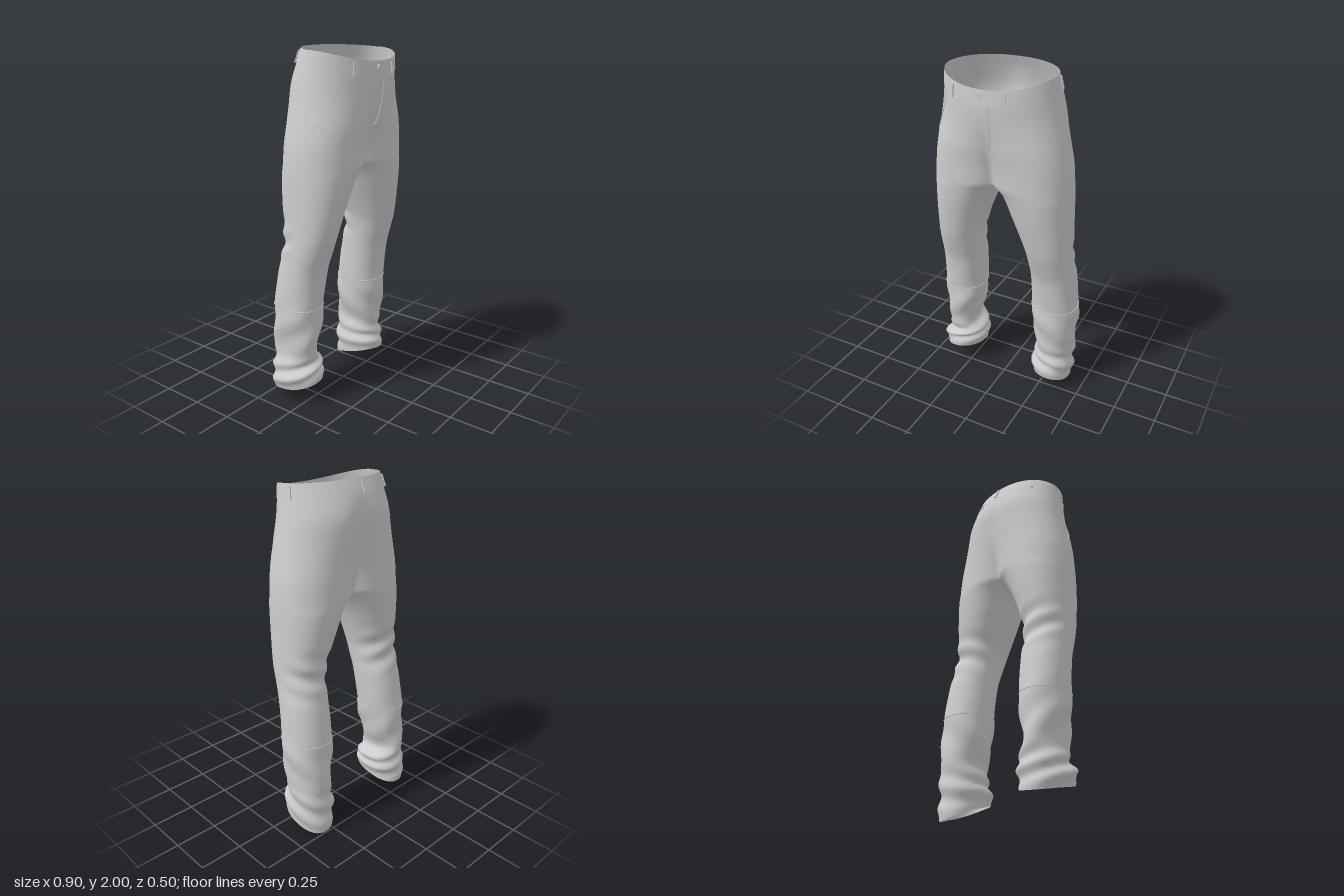
import * as THREE from 'three';
import { mergeGeometries, mergeVertices } from 'three/addons/utils/BufferGeometryUtils.js';

// Sections: [height, outer x, inner x, front z, back z]
const LEFT_LEG = [
  [0.05, 0.405, 0.19, 0.06, -0.245], [0.12, 0.418, 0.18, 0.058, -0.243], [0.22, 0.42, 0.185, 0.03, -0.238],
  [0.3, 0.42, 0.2, 0.035, -0.24], [0.4, 0.43, 0.18, 0.045, -0.235], [0.5, 0.44, 0.165, 0.055, -0.23],
  [0.6, 0.435, 0.165, 0.055, -0.225], [0.8, 0.425, 0.165, 0.08, -0.195], [0.9, 0.415, 0.16, 0.11, -0.17],
  [1.0, 0.412, 0.145, 0.14, -0.16], [1.2, 0.405, 0.07, 0.18, -0.19], [1.33, 0.402, 0.012, 0.2, -0.205],
  [1.38, 0.4, -0.045, 0.207, -0.208],
];
// The right leg differs only in its outer and inner x
const RIGHT_X = [[0.43, 0.2], [0.448, 0.19], [0.425, 0.19], [0.41, 0.24], [0.42, 0.215], [0.43, 0.19], [0.43, 0.18],
  [0.42, 0.165], [0.415, 0.16], [0.41, 0.15], [0.405, 0.085], [0.402, 0.012], [0.4, -0.045]];
const RIGHT_LEG = LEFT_LEG.map((r, i) => [r[0], ...RIGHT_X[i], r[3], r[4]]);
// Hips: [height, outer x, front z, back z, roundness (0 = two legs, 1 = one waist)]
const HIPS = [
  [1.38, 0.4, 0.207, -0.208, 0], [1.5, 0.39, 0.22, -0.215, 0.25], [1.6, 0.372, 0.235, -0.222, 0.52],
  [1.7, 0.352, 0.24, -0.23, 0.78], [1.8, 0.335, 0.243, -0.23, 0.93], [1.9, 0.318, 0.245, -0.2, 1],
  [1.985, 0.305, 0.24, -0.165, 1],
];
const CROTCH = 1.38, RIM = 1.985, SPLIT = 140 * Math.PI / 180, HALF = 56, INNER = 16;

// Smooth interpolation of one table row at height v
function sample(table, v) {
  let i = 0;
  while (i < table.length - 2 && v > table[i + 1][0]) i++;
  const a = table[i], b = table[i + 1], p = table[Math.max(i - 1, 0)], q = table[Math.min(i + 2, table.length - 1)];
  const h = b[0] - a[0], t = (v - a[0]) / h;
  return a.map((_, c) => {
    const m0 = (b[c] - p[c]) / (b[0] - p[0]) * h, m1 = (q[c] - a[c]) / (q[0] - a[0]) * h;
    return a[c] * (2 * t ** 3 - 3 * t * t + 1) + m0 * (t ** 3 - 2 * t * t + t) + b[c] * (3 * t * t - 2 * t ** 3) + m1 * (t ** 3 - t * t);
  });
}
const bump = (v, centre, width) => Math.exp(-(((v - centre) / width) ** 2));
const power = (n, e) => Math.sign(n) * Math.abs(n) ** e;

// Rounded section; angle runs front (-90) > outer (0) > back (90)
function oval(xOut, xIn, zF, zB, a, e) {
  return [(xOut + xIn) / 2 + (xOut - xIn) / 2 * power(Math.cos(a), e), (zF + zB) / 2 - (zF - zB) / 2 * power(Math.sin(a), e)];
}

function legPoint(side, v, a, off = 0) {
  const [, xo, xi, zf, zb] = sample(side > 0 ? LEFT_LEG : RIGHT_LEG, v);
  // folds behind the knee and bunched cloth at the ankle
  const back = Math.max(0, Math.sin(a)), k = side > 0 ? 0 : 1.3;
  const fold = off + 0.012 * bump(v, 0.97, 0.11) * back * Math.sin(v * 48 + a * 2 + k)
    + 0.012 * bump(v, 0.17, 0.09) * Math.sin(v * 55 + a * 2 + k)
    + 0.006 * bump(v, 0.42, 0.16) * Math.sin(v * 26 + a * 3 + k);
  const [x, z] = oval(xo + fold, xi - fold, zf + fold, zb - fold, a, 0.9);
  const hem = 1 - THREE.MathUtils.smoothstep(v, 0.05, 0.3);
  const [c0, c1] = side > 0 ? [0.003, 0.05] : [0.045, 0.035];
  const y = v + hem * (c0 - c1 * Math.sin(a) - 0.015 * Math.cos(a));
  return new THREE.Vector3(side * Math.max(0, x), y, z);
}

// s runs from front centre (-1) around the hip to back centre (1)
function hipPoint(side, v, s, off = 0) {
  const [, xo, zf, zb, w] = sample(HIPS, v);
  const [lx, lz] = oval(xo + off, -0.045, zf + off, zb - off, s * SPLIT, 0.9);
  const [wx, wz] = oval(xo + off, -xo - off, zf + off, zb - off, s * Math.PI / 2, 0.95);
  const x = Math.abs(s) > 0.9999 ? 0 : Math.max(0, lx + (wx - lx) * w);
  let z = lz + (wz - lz) * w;
  if (s > 0) z += 0.018 * bump(v, 1.75, 0.12) * bump(x, 0, 0.08);
  const tilt = z > 0 ? -0.055 * (z / 0.24) ** 2 : -0.09 * z;
  return new THREE.Vector3(side * x, v + tilt * THREE.MathUtils.smoothstep(v, 1.6, 1.9), z);
}

function legRing(side, v, off) {
  const ring = [];
  for (let i = 0; i <= HALF; i++) ring.push(legPoint(side, v, (i / HALF * 2 - 1) * SPLIT, off));
  for (let i = 1; i < INNER; i++) ring.push(legPoint(side, v, SPLIT + i / INNER * 2 * (Math.PI - SPLIT), off));
  return side > 0 ? ring : ring.reverse();
}
function hipRing(v, off) {
  const ring = [];
  for (let i = 0; i <= HALF; i++) ring.push(hipPoint(1, v, i / HALF * 2 - 1, off));
  for (let i = HALF - 1; i > 0; i--) ring.push(hipPoint(-1, v, i / HALF * 2 - 1, off));
  return ring;
}

// Skin a stack of closed rings, lowest first
function loft(rings) {
  const n = rings[0].length, index = [];
  for (let r = 0; r < rings.length - 1; r++) {
    for (let i = 0; i < n; i++) {
      const a = r * n + i, b = r * n + (i + 1) % n;
      index.push(a, b, b + n, a, b + n, a + n);
    }
  }
  const g = new THREE.BufferGeometry().setFromPoints(rings.flat());
  g.setIndex(index);
  return g;
}
const levels = (from, to, n) => Array.from({ length: n + 1 }, (_, i) => from + (to - from) * i / n);

export function createModel() {
  const group = new THREE.Group();
  const cloth = new THREE.MeshStandardMaterial({ color: 0xcccccc, side: THREE.DoubleSide });
  cloth.name = 'grey cloth';
  const add = (name, geometry) => {
    const mesh = new THREE.Mesh(geometry, cloth);
    mesh.name = name;
    group.add(mesh);
    return mesh;
  };
  const stitch = (name, points, closed = false) =>
    add(name, new THREE.TubeGeometry(new THREE.CatmullRomCurve3(points, closed), closed ? 96 : 32, 0.0025, 5, closed));

  // Hips and both legs, welded into one smooth skin
  const body = mergeVertices(mergeGeometries([
    loft(levels(CROTCH, 1.92, 30).map((v) => hipRing(v))),
    ...[1, -1].map((side) => loft(levels(0.05, CROTCH, 80).map((v) => legRing(side, v)))),
  ]), 1e-4);
  body.computeVertexNormals();
  add('hipsAndLegs', body);

  // Waistband
  const band = loft(levels(1.91, RIM, 5).map((v) => hipRing(v, 0.004)));
  band.computeVertexNormals();
  add('waistband', band);

  // Belt loops: [side, position around the hip]
  for (const [side, s] of [[1, -0.77], [-1, -0.62], [1, 0.1], [-1, 0.42], [-1, 0.96]]) {
    const low = hipPoint(side, 1.905, s, 0.009), high = hipPoint(side, 1.972, s, 0.009);
    const along = hipPoint(side, 1.94, s + 0.02).sub(hipPoint(side, 1.94, s - 0.02)).multiplyScalar(side).normalize();
    const up = high.clone().sub(low).normalize();
    const out = along.clone().cross(up).normalize();
    const loop = add('beltLoop', new THREE.BoxGeometry(0.018, low.distanceTo(high), 0.007));
    loop.quaternion.setFromRotationMatrix(new THREE.Matrix4().makeBasis(up.clone().cross(out), up, out));
    loop.position.copy(low).add(high).multiplyScalar(0.5);
  }

  // Front button
  const button = add('button', new THREE.CylinderGeometry(0.017, 0.017, 0.008, 20));
  button.rotation.x = Math.PI / 2;
  button.position.set(-0.015, 1.893, 0.248);

  // Stitched fly
  stitch('flyStitching', [[1.9, -0.95], [1.8, -0.95], [1.7, -0.945], [1.64, -0.95], [1.6, -0.97], [1.585, -1]]
    .map(([v, s]) => hipPoint(1, v, s, 0.001)));

  // Pocket edges and the seams below the knees
  for (const side of [1, -1]) {
    stitch('pocketEdge', levels(0, 1, 8).map((t) => hipPoint(side, 1.89 - 0.34 * t, -0.42 + 0.36 * t * t, 0.001)));
    stitch('shinSeam', legRing(side, 0.58, 0.001).filter((_, i) => i % 2 === 0), true);
  }
  return group;
}
